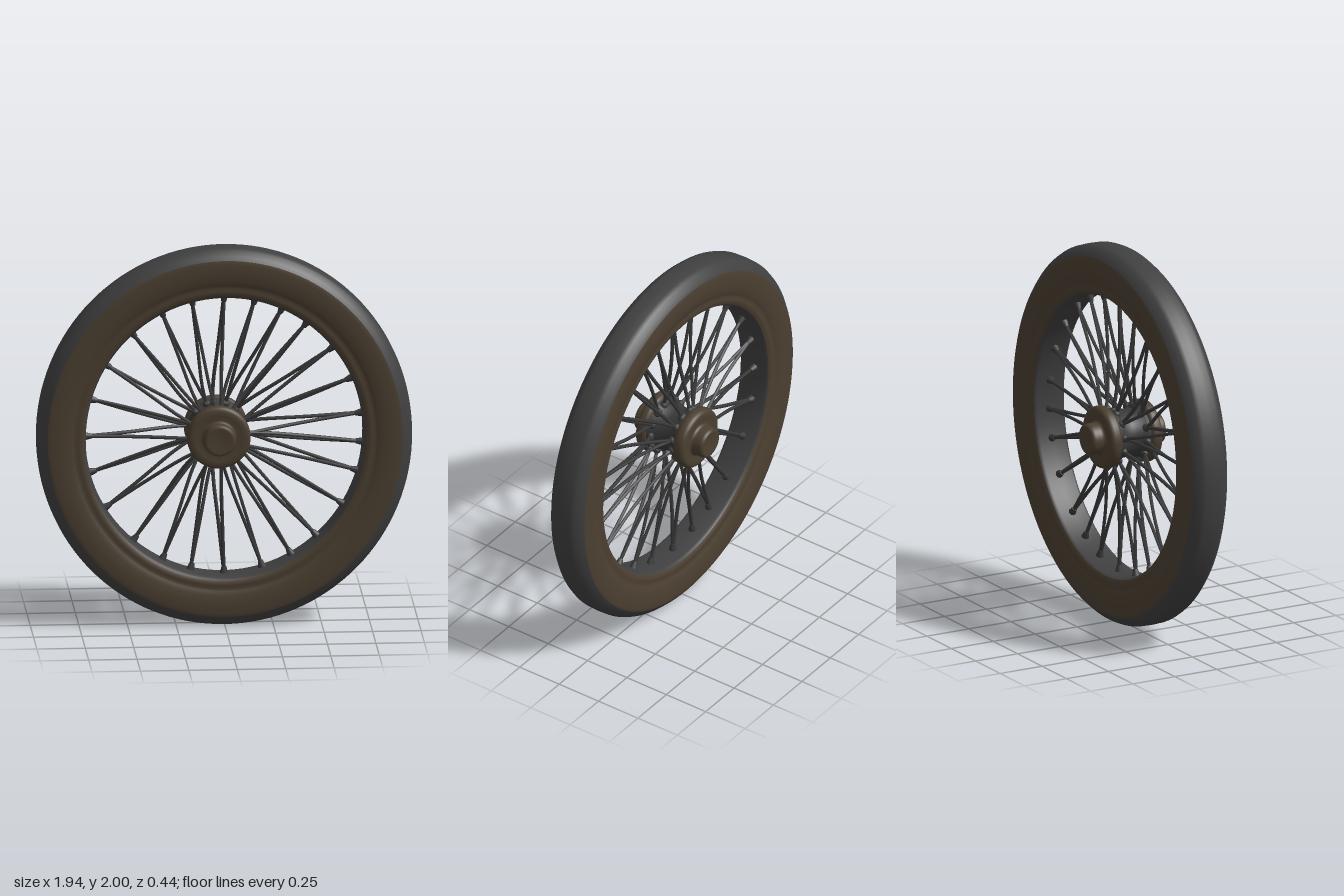
import * as THREE from 'three';

const mat = (name, color) => Object.assign(new THREE.MeshStandardMaterial({ color }), { name });

export function createModel() {
  const wheel = new THREE.Group();
  wheel.name = 'spokedWheel';
  const brown = mat('dusty brown', 0x4b3f31);
  const grey = mat('dark rubber grey', 0x404041);
  const steel = mat('dark spoke grey', 0x39393a);

  // Lathe whose axis runs along z; profile points are [radius, z]
  const turned = (name, points, material, segments, parent) => {
    const geo = new THREE.LatheGeometry(points.map(p => new THREE.Vector2(p[0], p[1])), segments);
    geo.rotateX(Math.PI / 2);
    const mesh = new THREE.Mesh(geo, material);
    mesh.name = name;
    parent.add(mesh);
    return mesh;
  };

  // Tyre: tread, two side walls and the inner bore, slightly oval
  const tyre = new THREE.Group();
  tyre.name = 'tyre';
  tyre.position.set(0, 1, 0.005);
  tyre.scale.x = 0.97;
  wheel.add(tyre);
  turned('tread', [[0.945, -0.105], [0.965, -0.092], [0.988, -0.068], [0.998, -0.045], [1, 0],
    [0.998, 0.045], [0.988, 0.068], [0.965, 0.092], [0.945, 0.105]], grey, 128, tyre);
  const wall = [[0.945, 0.105], [0.925, 0.11], [0.88, 0.11], [0.835, 0.107], [0.812, 0.098],
    [0.798, 0.094], [0.782, 0.097], [0.765, 0.097], [0.75, 0.088]];
  turned('frontWall', wall, brown, 128, tyre);
  turned('backWall', wall.map(([r, z]) => [r, -z]).reverse(), brown, 128, tyre);
  turned('bore', [[0.75, 0.088], [0.741, 0.074], [0.738, 0], [0.741, -0.074], [0.75, -0.088]], grey, 128, tyre);

  // Hub: drum, rounded flanges and stepped axle ends
  const hub = new THREE.Group();
  hub.name = 'hub';
  hub.position.set(-0.035, 1.013, 0);
  wheel.add(hub);
  turned('drum', [[0.15, -0.1], [0.145, -0.07], [0.125, -0.045], [0.122, 0], [0.125, 0.045],
    [0.145, 0.07], [0.15, 0.1]], steel, 48, hub);
  const cap = [[0.11, 0.085], [0.15, 0.088], [0.161, 0.097], [0.164, 0.11], [0.164, 0.13], [0.158, 0.145],
    [0.145, 0.152], [0.12, 0.152], [0.095, 0.147], [0.084, 0.152], [0.082, 0.165], [0.082, 0.2],
    [0.078, 0.213], [0.068, 0.218], [0.058, 0.214], [0, 0.212]];
  turned('frontCap', cap, brown, 48, hub);
  turned('backCap', cap.map(([r, z]) => [r, -z]).reverse(), brown, 48, hub);

  // Spokes: each is a pair of rods that part towards the two ends of the drum
  const angles = [90, 77, 65, 53, 38, 23, 8, -4, -16, -31, -48, -61, -74, -90, -104, -116.5,
    -131, -149, -165, 180, 164.5, 149, 132, 117, 103.5];
  const polar = (r, a, z, o) => new THREE.Vector3(o.x + r * Math.cos(a), o.y + r * Math.sin(a), z);
  const rimCentre = new THREE.Vector3(0, 1, 0);
  const nubGeo = new THREE.CylinderGeometry(0.013, 0.021, 0.035, 8);
  const rootGeo = new THREE.SphereGeometry(0.021, 8, 6);
  angles.forEach((deg, i) => {
    const a = THREE.MathUtils.degToRad(deg);
    const spoke = new THREE.Group();
    spoke.name = 'spoke' + (i + 1);
    wheel.add(spoke);
    const end = polar(0.735, a, 0, rimCentre);
    end.x *= 0.97;
    for (const side of [1, -1]) {
      const twist = side * (i % 2 ? 0.14 : -0.14);
      const start = polar(0.138, a + twist, side * 0.068, hub.position);
      const bend = polar(0.25, a + twist * 0.5, side * 0.045, hub.position);
      const middle = bend.clone().lerp(end, 0.45);
      middle.z = side * 0.014;
      const path = new THREE.CatmullRomCurve3([start, bend, middle, end]);
      const rod = new THREE.Mesh(new THREE.TubeGeometry(path, 16, 0.0095, 6), steel);
      rod.name = side > 0 ? 'frontRod' : 'backRod';
      const root = new THREE.Mesh(rootGeo, steel);
      root.name = 'rodRoot';
      root.position.copy(start);
      spoke.add(rod, root);
    }
    // Flared nipple where the rods meet the bore
    const nub = new THREE.Mesh(nubGeo, steel);
    nub.name = 'nipple';
    nub.position.copy(end).lerp(rimCentre, 0.02);
    nub.rotation.z = a + Math.PI / 2;
    spoke.add(nub);
  });
  return wheel;
}
